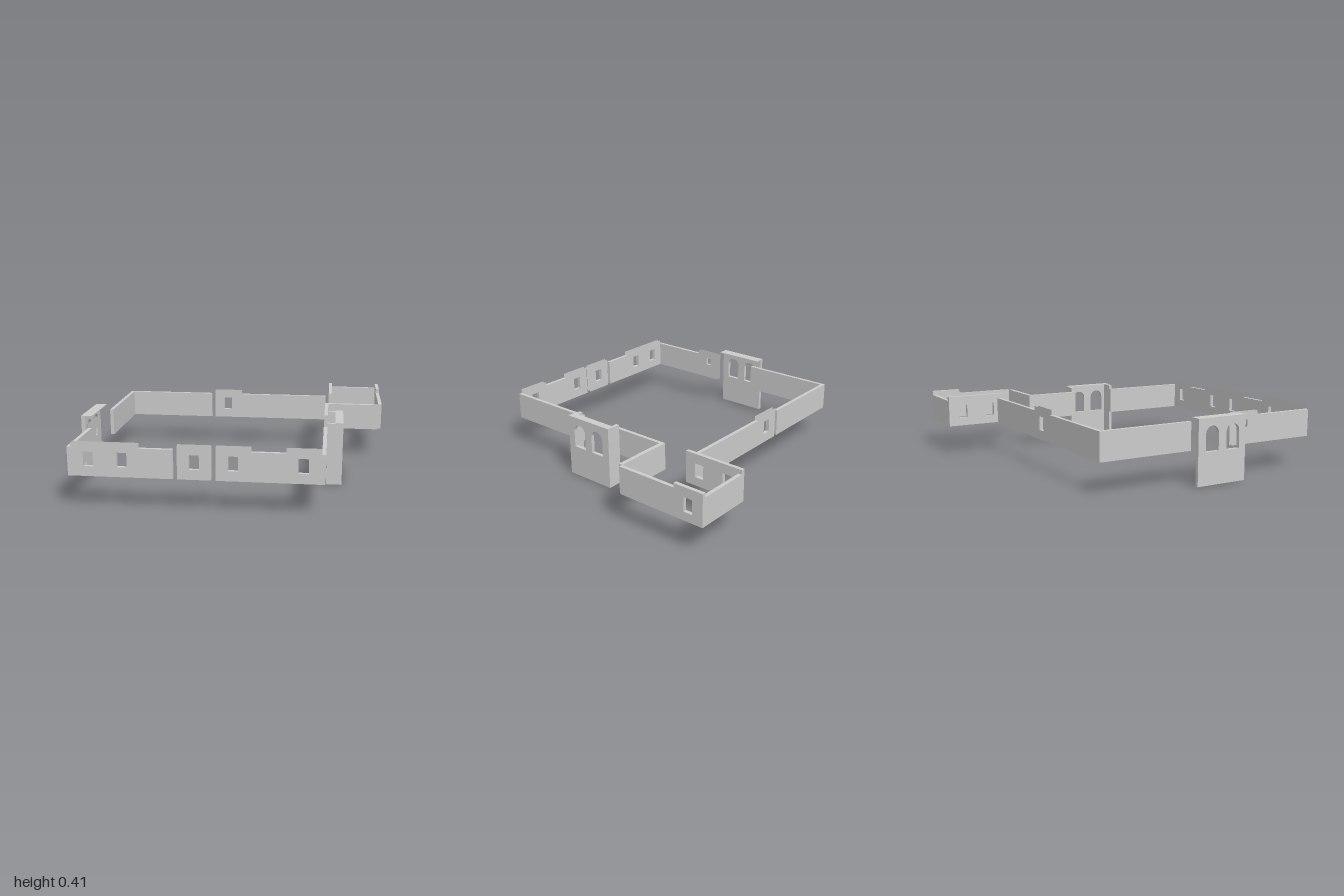
import * as THREE from 'three';

const BASE = 0.2, LOW = 0.379, HIGH = 0.407, T = 0.024;
const material = new THREE.MeshStandardMaterial({ color: 0xcccccc });
const openMaterial = new THREE.MeshStandardMaterial({ color: 0xcccccc, side: THREE.DoubleSide });

// Rectangular window opening centred on u
function windowHole(u, w = 0.06, sill = 0.261, head = 0.35) {
  return new THREE.Path([
    [u - w / 2, sill], [u - w / 2, head], [u + w / 2, head], [u + w / 2, sill],
  ].map(([x, y]) => new THREE.Vector2(x, y)));
}

// Round-headed opening centred on u
function archHole(u) {
  const r = 0.048, spring = 0.315, sill = 0.206;
  const p = new THREE.Path();
  p.moveTo(u - r, sill);
  p.lineTo(u + r, sill);
  p.lineTo(u + r, spring);
  p.absarc(u, spring, r, 0, Math.PI, false);
  p.lineTo(u - r, sill);
  return p;
}

// Remove a wall's outer edge faces, keeping both sheets and the window reveals
function openEdges(geometry, a, b, y0, y1) {
  const p = geometry.attributes.position, kept = [];
  for (let i = 0; i < p.count; i += 3) {
    const liesAt = (k, v) => [0, 1, 2].every((j) => Math.abs(p.getComponent(i + j, k) - v) < 1e-5);
    if (!liesAt(0, a) && !liesAt(0, b) && !liesAt(1, y0) && !liesAt(1, y1)) kept.push(i, i + 1, i + 2);
  }
  geometry.setIndex(kept);
}

// Wall running from a to b along an axis; c is its lower face on the other axis
function wall(name, axis, a, b, c, { y0 = BASE, y1 = LOW, holes = [], open = false, t = T } = {}) {
  const shape = new THREE.Shape([
    new THREE.Vector2(a, y0), new THREE.Vector2(b, y0),
    new THREE.Vector2(b, y1), new THREE.Vector2(a, y1),
  ]);
  shape.holes.push(...holes);
  const g = new THREE.ExtrudeGeometry(shape, { depth: t, bevelEnabled: false, curveSegments: 16 });
  if (open) openEdges(g, a, b, y0, y1);
  if (axis === 'z') g.rotateY(-Math.PI / 2).translate(c + t, 0, 0);
  else g.translate(0, 0, c);
  const mesh = new THREE.Mesh(g, open ? openMaterial : material);
  mesh.name = name;
  return mesh;
}

function roof(name, x0, x1) {
  const mesh = new THREE.Mesh(new THREE.BoxGeometry(x1 - x0, 0.005, 0.352), material);
  mesh.position.set((x0 + x1) / 2, 0.4095, 0.176);
  mesh.name = name;
  return mesh;
}

function group(name, ...parts) {
  const g = new THREE.Group();
  g.name = name;
  g.add(...parts);
  return g;
}

// Raised bay made of two open sheets joined at the windows
const raised = (...holes) => ({ y1: HIGH, holes, open: true });

export function createModel() {
  const model = new THREE.Group();
  model.name = 'walledCourtyard';

  // Front range: raised window bays with low walls between
  const zF = 0.935;
  model.add(group('frontWall',
    wall('frontWindowBay', 'x', -0.874, -0.47, zF, raised(windowHole(-0.772), windowHole(-0.57))),
    wall('frontLowWall', 'x', -0.47, -0.267, zF),
    wall('frontWindowBay', 'x', -0.242, -0.042, zF, raised(windowHole(-0.142))),
    wall('frontWindowBay', 'x', -0.015, 0.19, zF, raised(windowHole(0.087))),
    wall('frontLowWall', 'x', 0.19, 0.392, zF),
    wall('frontWindowBay', 'x', 0.392, 0.595, zF, raised(windowHole(0.492))),
  ));

  // Back range
  const zB = -0.61;
  model.add(group('backWall',
    wall('backLowWall', 'x', -0.874, -0.267, zB),
    wall('backWindowBay', 'x', -0.242, -0.04, zB, raised(windowHole(-0.142))),
    wall('backLowWall', 'x', -0.04, 0.595, zB),
  ));

  // Side range on the -x side, open in front of the arched panel
  const xR = -0.898;
  model.add(group('rightWall',
    wall('rightLowWall', 'z', -0.61, 0.02, xR),
    wall('rightWindowBay', 'z', 0.33, 0.53, xR, raised(windowHole(0.428, 0.044, 0.305, 0.355))),
    wall('rightLowWall', 'z', 0.53, 0.96, xR),
  ));

  // Side range on the +x side, broken by the gatehouse
  const xL = 0.595;
  model.add(group('leftWall',
    wall('leftLowWall', 'z', -0.333, 0.02, xL),
    wall('leftLowWall', 'z', 0.33, 0.96, xL),
  ));

  // Annex at the back corner
  const bay = (...us) => ({ y1: HIGH, holes: us.map((u) => windowHole(u, 0.06, 0.255, 0.345)) });
  model.add(group('annex',
    wall('annexFrontWall', 'x', 0.595, 0.975, -0.36, { t: 0.027 }),
    wall('annexOuterLowWall', 'z', -0.76, -0.36, 0.976),
    wall('annexOuterWindowBay', 'z', -0.962, -0.76, 0.976, bay(-0.86)),
    wall('annexBackWall', 'x', 0.643, 0.976, -0.962),
    wall('annexInnerWindowBay', 'z', -0.962, -0.56, 0.619, bay(-0.86, -0.66)),
  ));

  // Tall arched panels with narrow roof slabs
  const arches = () => ({ y0: 0, y1: 0.407, holes: [archHole(0.102), archHole(0.255)] });
  const cheek = { y0: 0, y1: 0.407 };
  model.add(group('rightArchedPanel',
    wall('archedPanel', 'z', 0, 0.352, -1, arches()),
    roof('panelRoof', -1, -0.927),
  ));
  model.add(group('leftGatehouse',
    wall('archedPanel', 'z', 0, 0.352, 0.696, arches()),
    wall('gatehouseCheek', 'x', 0.619, 0.696, 0, cheek),
    wall('gatehouseCheek', 'x', 0.619, 0.696, 0.328, cheek),
    roof('gatehouseRoof', 0.668, 0.72),
  ));

  return model;
}
